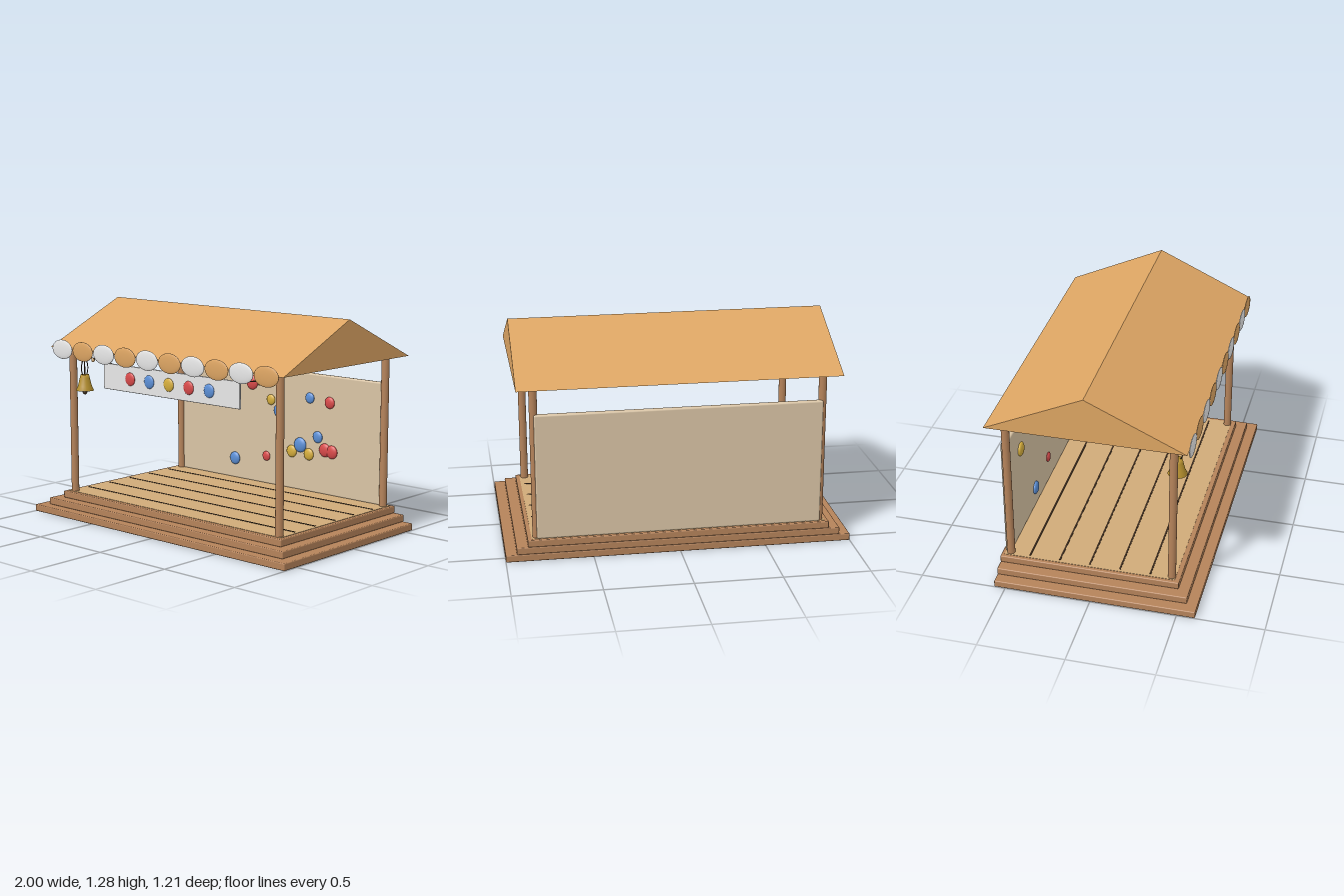
import * as THREE from 'three';
import { RoundedBoxGeometry } from 'three/addons/geometries/RoundedBoxGeometry.js';

const paint = (name, color) => {
  const m = new THREE.MeshStandardMaterial({ color });
  m.name = name;
  return m;
};

export function createModel() {
  const wood = paint('wood', 0xb5835a);
  const planks = paint('planks', 0xcfaa78);
  const awning = paint('awning', 0xdda563);
  const white = paint('white', 0xe8e8e8);
  const canvas = paint('canvas', 0xd9c4a5);
  const red = paint('red', 0xd94a4a);
  const blue = paint('blue', 0x5b8fd6);
  const yellow = paint('yellow', 0xd6ae3c);
  const brass = paint('brass', 0xb8922f);
  const dark = paint('dark', 0x3a2a1c);

  const model = new THREE.Group();
  model.name = 'fairStall';
  const add = (name, geometry, material, x = 0, y = 0, z = 0) => {
    const mesh = new THREE.Mesh(geometry, material);
    mesh.name = name;
    mesh.position.set(x, y, z);
    model.add(mesh);
    return mesh;
  };
  // Box given by its limits
  const block = (name, mat, [x0, x1], [y0, y1], [z0, z1], r = 0.006) =>
    add(name, new RoundedBoxGeometry(x1 - x0, y1 - y0, z1 - z0, 2, r), mat,
      (x0 + x1) / 2, (y0 + y1) / 2, (z0 + z1) / 2);
  const ball = new THREE.SphereGeometry(1, 24, 16);
  const blob = (name, mat, x, y, z, rx, ry, rz) => add(name, ball, mat, x, y, z).scale.set(rx, ry, rz);

  // Stepped platform, flush at the back
  [[1, 0.605], [0.937, 0.545], [0.873, 0.483]].forEach(([w, front], i) =>
    block('step', wood, [-w, w], [i * 0.042, (i + 1) * 0.042], [-0.565, front]));

  // Plank floor with dark gaps
  add('floor', new THREE.BoxGeometry(1.7, 0.004, 1.0), planks, 0, 0.126, -0.045);
  for (let i = 0; i < 5; i++)
    add('plankGap', new THREE.BoxGeometry(1.66, 0.004, 0.01), dark, 0, 0.128, 0.31 - i * 0.177);

  // Four posts
  const post = new THREE.CylinderGeometry(0.023, 0.023, 0.9, 20);
  for (const x of [-0.82, 0.82])
    for (const z of [0.433, -0.514]) add('post', post, wood, x, 0.574, z);

  // Solid gable roof
  const gable = new THREE.Shape([[0.525, 1.02], [-0.04, 1.28], [-0.605, 1.02]].map(p => new THREE.Vector2(...p)));
  const roof = new THREE.ExtrudeGeometry(gable, { depth: 1.835, bevelEnabled: false });
  roof.rotateY(-Math.PI / 2);
  add('roof', roof, awning, 0.9175);

  // Scalloped trim along the eaves
  for (let i = 0; i < 10; i++)
    blob('scallop', i % 2 ? awning : white, -0.806 + i * 0.179, 1.015, 0.532, 0.088, 0.058, 0.01);

  // Back wall with flattened balloons
  block('backWall', canvas, [-0.82, 0.82], [0.126, 0.86], [-0.548, -0.513], 0.01);
  [
    [yellow, -0.585, 0.685, 0.042], [red, -0.2, 0.757, 0.045], [yellow, -0.045, 0.665, 0.033],
    [blue, 0.02, 0.602, 0.04], [blue, 0.265, 0.71, 0.033], [red, 0.418, 0.697, 0.036],
    [blue, 0.328, 0.476, 0.036], [blue, 0.192, 0.41, 0.046], [yellow, 0.125, 0.362, 0.038],
    [yellow, 0.26, 0.36, 0.037], [red, 0.385, 0.402, 0.042], [red, 0.438, 0.397, 0.041],
    [red, -0.08, 0.303, 0.03], [blue, -0.343, 0.254, 0.04],
  ].forEach(([m, x, y, r]) => blob('balloon', m, x, y, -0.508, r, r, r * 0.4));

  // Hanging sign with a row of coloured dots
  block('sign', white, [-0.54, 0.54], [0.795, 0.95], [0.431, 0.445], 0.004);
  [red, blue, yellow, red, blue].forEach((m, i) =>
    blob('signDot', m, -0.315 + i * 0.157, 0.874, 0.446, 0.039, 0.039, 0.012));

  // Sagging cord with small bulbs
  const sag = x => 0.92 + 0.065 * (x / 0.82) ** 2;
  const cord = [];
  for (let i = -6; i <= 6; i++) cord.push(new THREE.Vector3(i * 0.1367, sag(i * 0.1367), 0.418));
  add('cord', new THREE.TubeGeometry(new THREE.CatmullRomCurve3(cord), 40, 0.004, 6), dark);
  for (let i = -4; i <= 4; i++)
    blob('bulb', planks, i * 0.165, sag(i * 0.165) - 0.01, 0.418, 0.011, 0.013, 0.011);

  // Bell on a looped string
  const bellProfile = [[0, 0.86], [0.025, 0.86], [0.03, 0.84], [0.042, 0.79], [0.055, 0.764], [0.048, 0.764], [0.022, 0.85], [0, 0.85]];
  const bell = new THREE.LatheGeometry(bellProfile.map(p => new THREE.Vector2(...p)).reverse(), 24);
  add('bell', bell, brass, -0.72, 0, 0.433).material = brass;
  brass.side = THREE.DoubleSide;
  add('bellString', new THREE.CylinderGeometry(0.004, 0.004, 0.17, 6), dark, -0.72, 0.94, 0.433);
  const loop = add('bellLoop', new THREE.TorusGeometry(0.026, 0.003, 6, 24), dark, -0.72, 0.9, 0.433);
  loop.rotation.y = Math.PI / 2;
  loop.scale.y = 2;
  add('clapperRod', new THREE.CylinderGeometry(0.004, 0.004, 0.1, 6), dark, -0.72, 0.805, 0.433);
  blob('clapper', dark, -0.72, 0.752, 0.433, 0.014, 0.014, 0.014);

  return model;
}
